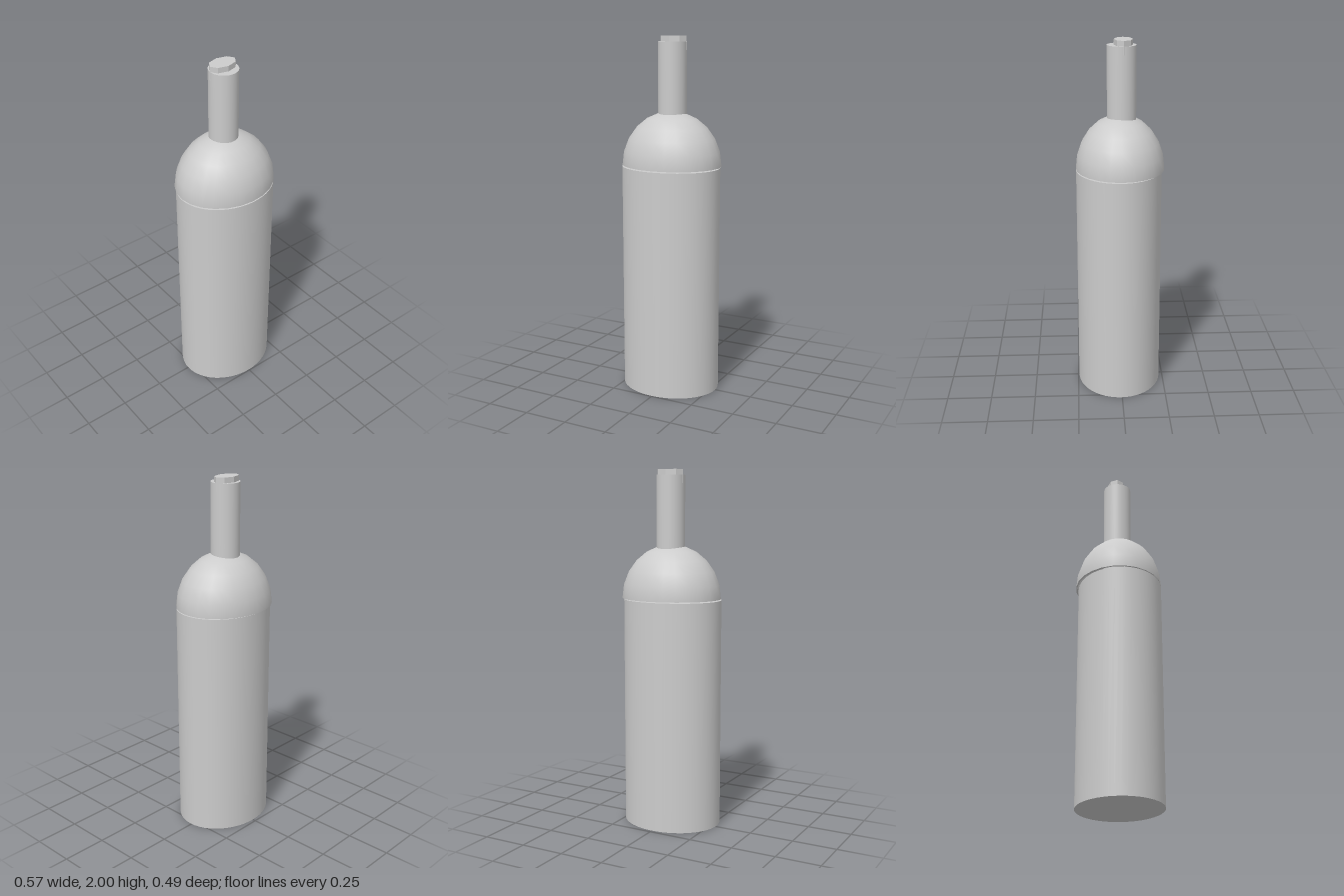
import * as THREE from 'three';

const material = (options = {}) => new THREE.MeshStandardMaterial({ color: 0xcccccc, ...options });

function addPart(parent, name, geometry, position, scale, options) {
  const mesh = new THREE.Mesh(geometry, material(options));
  mesh.name = name;
  mesh.position.set(...position);
  mesh.scale.set(...scale);
  parent.add(mesh);
  return mesh;
}

// Upright elliptical cylinder between two heights
function addColumn(parent, name, bottom, top, rx, rz, x, z, sides, options) {
  const geometry = new THREE.CylinderGeometry(1, 1, top - bottom, sides);
  return addPart(parent, name, geometry, [x, (bottom + top) / 2, z], [rx, 1, rz], options);
}

export function createModel() {
  const bottle = new THREE.Group();
  bottle.name = 'bottle';

  // Oval body, set slightly forward
  addColumn(bottle, 'body', 0, 1.284, 0.283, 0.238, -0.002, 0.007, 48);

  // Thin domed shoulder hovering just above the body
  const shoulder = new THREE.Group();
  shoulder.name = 'shoulder';
  shoulder.position.y = 1.291;
  bottle.add(shoulder);
  const half = () => new THREE.SphereGeometry(1, 24, 6, 0, Math.PI * 2, 0, Math.PI / 2);
  addPart(shoulder, 'shoulderOuter', half(), [0, 0, 0], [0.286, 0.3, 0.246]);
  addPart(shoulder, 'shoulderInner', half(), [0, 0, 0], [0.277, 0.292, 0.238], { side: THREE.BackSide });
  const rim = new THREE.RingGeometry(0.968, 1, 24).rotateX(Math.PI / 2);
  addPart(shoulder, 'shoulderRim', rim, [0, 0, 0], [0.286, 1, 0.246]);

  // Round neck running down through the shoulder
  addColumn(bottle, 'neck', 1.284, 1.97, 0.079, 0.08, 0, -0.008, 40);

  // Faceted stopper pushed into the neck
  addColumn(bottle, 'stopper', 1.925, 2, 0.08, 0.0515, 0, -0.017, 8, { flatShading: true });

  return bottle;
}
